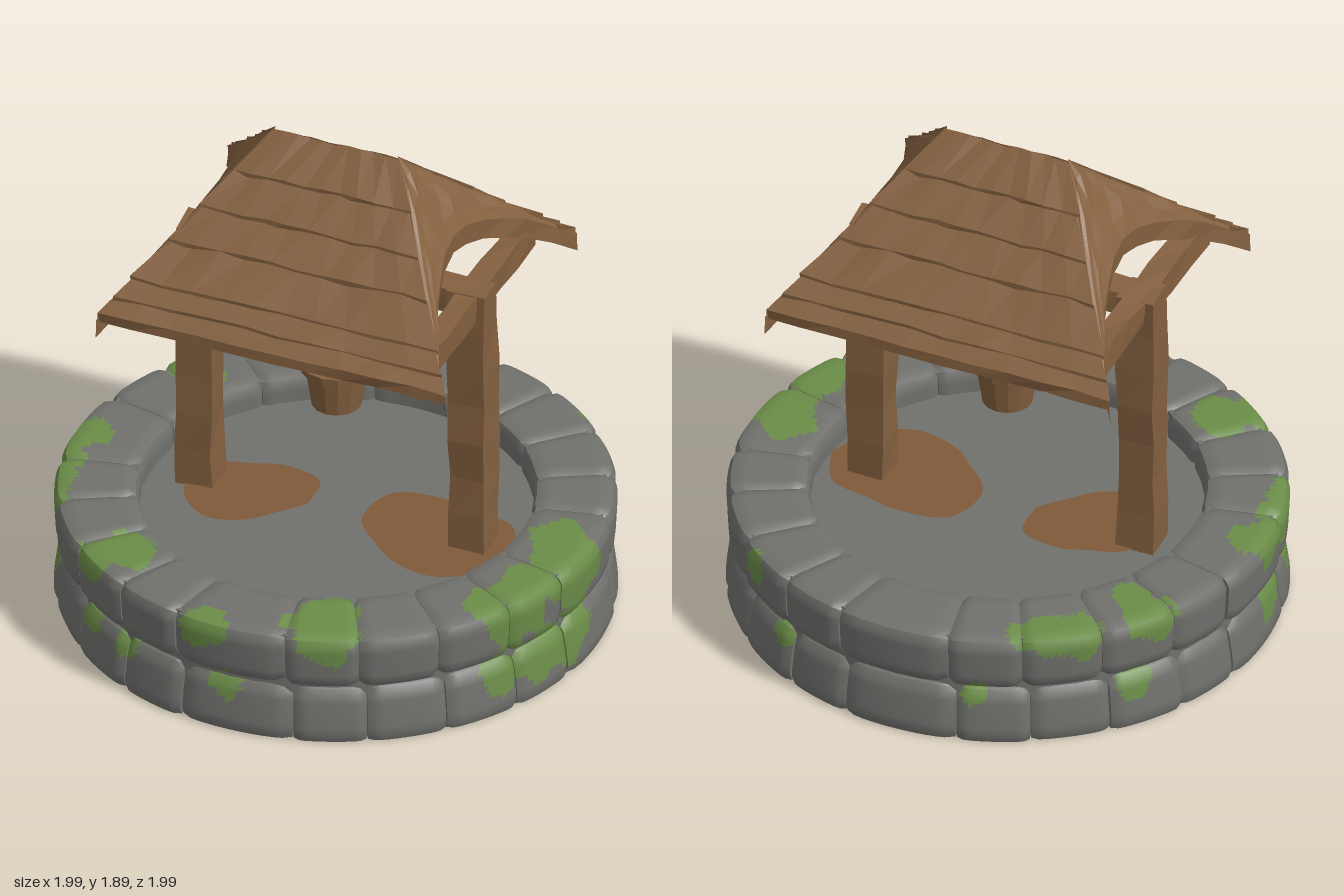
import * as THREE from 'three';

const mat = (name, color) => { const m = new THREE.MeshStandardMaterial({ color }); m.name = name; return m; };
const wood = mat('wood', 0x84603f), stone = mat('stone', 0x70716d), moss = mat('moss', 0x6b8d48);
const mud = mat('mud', 0x7f5a3a), iron = mat('dark iron', 0x3b3733);
const { lerp } = THREE.MathUtils;

// repeatable noise in -1..1 from a position
const noise = (x, y, z) => {
  const s = Math.sin(Math.round(x * 500) * 12.99 + Math.round(y * 500) * 78.23 + Math.round(z * 500) * 37.72) * 43758.55;
  return (s - Math.floor(s)) * 2 - 1;
};

// moves every vertex by a rule p => void
function warp(geo, rule) {
  const pos = geo.attributes.position, p = new THREE.Vector3();
  for (let i = 0; i < pos.count; i++) {
    rule(p.fromBufferAttribute(pos, i));
    pos.setXYZ(i, p.x, p.y, p.z);
  }
  return geo;
}

// rough-hewn faceted look
function hewn(geo, amount) {
  warp(geo, p => {
    const { x, y, z } = p;
    p.x += amount * noise(x, y, z);
    p.y += amount * noise(y, z, x);
    p.z += amount * noise(z, x, y);
  });
  const flat = geo.toNonIndexed();
  flat.computeVertexNormals();
  return flat;
}

function add(parent, name, geo, material) {
  const m = new THREE.Mesh(geo, material);
  m.name = name;
  parent.add(m);
  return m;
}

// hewn beam given by its extents
function beam(parent, name, [x0, x1], [y0, y1], [z0, z1], amount = 0.007) {
  const w = x1 - x0, h = y1 - y0, d = z1 - z0, n = s => Math.max(1, Math.round(s / 0.16));
  const g = new THREE.BoxGeometry(w, h, d, n(w), n(h), n(d));
  g.translate((x0 + x1) / 2, (y0 + y1) / 2, (z0 + z1) / 2);
  return add(parent, name, hewn(g, amount), wood);
}

// moss clumps: x, y, z, radius
const clumps = [
  [-0.6, 0.44, -0.74, 0.11], [-0.48, 0.44, -0.8, 0.09], [-0.8, 0.43, -0.52, 0.1], [-0.7, 0.44, -0.46, 0.08],
  [-0.95, 0.43, 0.06, 0.1], [-0.96, 0.4, 0.22, 0.09], [-0.93, 0.41, 0.34, 0.08], [-0.97, 0.18, 0.1, 0.09],
  [0.84, 0.44, -0.02, 0.09], [0.95, 0.4, 0.1, 0.15], [0.9, 0.44, 0.23, 0.12], [0.86, 0.4, 0.42, 0.14],
  [0.78, 0.44, 0.5, 0.08], [0.96, 0.17, 0.16, 0.12], [0.94, 0.17, 0.32, 0.11], [0.87, 0.18, 0.48, 0.1],
  [-0.52, 0.44, 0.67, 0.12], [-0.62, 0.42, 0.75, 0.09], [0.3, 0.44, 0.74, 0.1], [0.34, 0.44, 0.9, 0.12],
  [0.2, 0.44, 0.85, 0.06], [-0.1, 0.41, 0.98, 0.09], [-0.9, 0.4, 0.4, 0.07], [-0.9, 0.18, 0.38, 0.08],
  [-0.61, 0.19, 0.76, 0.06], [-0.43, 0.18, 0.87, 0.06], [0, 0.19, 0.97, 0.06], [0.62, 0.37, -0.77, 0.07],
  [0.9, 0.19, -0.4, 0.05], [0.48, 0.18, -0.85, 0.05], [-0.77, 0.18, -0.6, 0.07], [-0.3, 0.2, -0.93, 0.05],
];
const isMossy = (x, y, z) => clumps.some(([a, b, c, r]) =>
  Math.hypot(x - a, y - b, z - c) < r * (1 + 0.14 * Math.sin(x * 31 + y * 23 - z * 27)));

// one rounded stone bent around the ring, with mossy faces split into a second group
function ringStone(a0, a1, y0, y1, rIn, rLow, rHigh, seed) {
  const g = new THREE.BoxGeometry(2, 2, 2, 12, 8, 10);
  const bulge = 0.006 * noise(seed, a0, y0);
  warp(g, ({ x: a, y: b, z: c }) => 0);
  warp(g, p => {
    const a = p.x, b = p.y, c = p.z, ea = a ** 10, eb = b ** 8, ec = c ** 10;
    const ang = lerp(a0, a1, (a * 0.985 + 1) / 2);
    const rOut = lerp(rLow, rHigh, (b + 1) / 2) - 0.016 * ea - 0.016 * eb + bulge;
    const r = lerp(rIn + 0.012 * (ea + eb), rOut, (c + 1) / 2);
    const inset = b > 0 ? 0.013 * ea + 0.012 * ec : (y0 > 0 ? 0.012 * (ea + ec) : 0);
    p.set(Math.sin(ang) * r, lerp(y0, y1, (b + 1) / 2) - b * inset, Math.cos(ang) * r);
  });
  const idx = g.index.array, pos = g.attributes.position, bare = [], green = [];
  for (let i = 0; i < idx.length; i += 3) {
    const t = [idx[i], idx[i + 1], idx[i + 2]];
    const mid = f => t.reduce((s, k) => s + pos[f](k), 0) / 3;
    (isMossy(mid('getX'), mid('getY'), mid('getZ')) ? green : bare).push(...t);
  }
  g.setIndex([...bare, ...green]);
  g.clearGroups();
  g.addGroup(0, bare.length, 0);
  g.addGroup(bare.length, green.length, 1);
  g.computeVertexNormals();
  return g;
}

// box bent onto a surface: u across, v down the slope, thickness measured downwards
function slab(parent, name, surface, nu, nv, thick, amount) {
  const g = warp(new THREE.BoxGeometry(1, 1, 1, nu, 1, nv), p => {
    const [x, y, z] = surface(p.x + 0.5, p.z + 0.5);
    p.set(x, y - (0.5 - p.y) * thick, z);
  });
  return add(parent, name, hewn(g, amount), wood);
}

function blob(cx, cz, r, phase) {
  const pts = [];
  for (let i = 0; i < 10; i++) {
    const a = i / 10 * Math.PI * 2, k = r * (1 + 0.16 * Math.sin(a * 2 + phase) + 0.08 * Math.sin(a * 3));
    pts.push(new THREE.Vector2(cx + Math.cos(a) * k, -cz + Math.sin(a) * k));
  }
  const s = new THREE.Shape();
  s.moveTo(pts[0].x, pts[0].y);
  s.splineThru([...pts.slice(1), pts[0]]);
  return new THREE.ShapeGeometry(s, 6).rotateX(-Math.PI / 2);
}

export function createModel() {
  const model = new THREE.Group();
  model.name = 'well';

  // stone ring: two courses of unequal blocks
  const ring = new THREE.Group();
  ring.name = 'stoneRing';
  model.add(ring);
  const joints = [];
  for (let q = 0; q < 4; q++) for (const d of [12.5, 28, 45, 62, 77.5]) joints.push((q * 90 + d) * Math.PI / 180);
  joints.forEach((a, i) => {
    const b = i < 19 ? joints[i + 1] : joints[0] + Math.PI * 2;
    add(ring, 'lowerStone', ringStone(a + 0.03, b + 0.03, 0, 0.217, 0.8, 1.0, 0.972, i), [stone, moss]);
    add(ring, 'upperStone', ringStone(a, b, 0.217, 0.435, 0.695, 0.985, 0.995, i + 40), [stone, moss]);
  });

  // mortar behind the joints and the inner floor
  const band = new THREE.Shape().absarc(0, 0, 0.955, 0, Math.PI * 2);
  band.holes.push(new THREE.Path().absarc(0, 0, 0.715, 0, Math.PI * 2, true));
  const mortar = new THREE.ExtrudeGeometry(band, { depth: 0.12, bevelEnabled: false, curveSegments: 40 });
  add(ring, 'mortar', mortar.rotateX(-Math.PI / 2).translate(0, 0.3, 0), stone);
  add(ring, 'floor', new THREE.CylinderGeometry(0.95, 0.95, 0.326, 64).translate(0, 0.167, 0), stone);
  add(ring, 'mudPatch', blob(-0.33, 0.02, 0.21, 0.5).translate(0, 0.335, 0), mud);
  add(ring, 'mudPatch', blob(0.4, 0.02, 0.26, 2.2).translate(0, 0.335, 0), mud);

  // timber frame
  const frame = new THREE.Group();
  frame.name = 'frame';
  model.add(frame);
  for (const s of [-1, 1]) {
    const xs = (a, b) => s > 0 ? [a, b] : [-b, -a];
    beam(frame, 'post', xs(0.455, 0.592), [0.32, 1.41], [-0.065, 0.065]);
    beam(frame, 'tieBeam', xs(0.48, 0.565), [1.31, 1.41], [-0.47, 0.47]);
  }
  beam(frame, 'crossBeam', [-0.5, 0.5], [1.315, 1.41], [-0.05, 0.05]);
  beam(frame, 'kingPost', [-0.045, 0.045], [1.39, 1.82], [-0.045, 0.045]);
  beam(frame, 'ridgeBeam', [-0.23, 0.23], [1.74, 1.82], [-0.035, 0.035], 0.004);

  // roof: lapped boards front and back, arched hips at the ends
  const roof = new THREE.Group();
  roof.name = 'roof';
  model.add(roof);
  const rows = [0, 0.22, 0.41, 0.59, 0.8, 0.9, 1];
  for (const turn of [0, Math.PI]) {
    for (let i = 0; i < rows.length - 1; i++) {
      slab(roof, 'roofBoard', (u, v) => {
        const t = lerp(rows[i], rows[i + 1] + (i < 5 ? 0.012 : 0), v);
        const half = lerp(0.24, 0.67, t);
        return [(u * 2 - 1) * half, lerp(1.878, 1.33, t) + 0.014 * v, 0.58 * t];
      }, 10, 1, 0.04, 0.0045).rotation.y = turn;
    }
    slab(roof, 'roofHip', (u, v) => {
      const w = 1 - 2 * u;
      const edge = 0.45 + 0.222 * Math.abs(w) ** 1.7;
      const x = lerp(0.235, edge, v);
      return [x, 1.885 - 1.29 * (x - 0.235), 0.59 * w * v];
    }, 12, 5, 0.078, 0.006).rotation.y = turn;
  }

  // bucket hanging from the cross beam
  const bucket = new THREE.Group();
  bucket.name = 'bucket';
  model.add(bucket);
  beam(bucket, 'hangerBlock', [-0.025, 0.025], [1.14, 1.33], [-0.025, 0.025], 0.004);
  const profile = [[0, 0.785], [0.09, 0.785], [0.112, 0.93], [0.128, 0.93], [0.132, 0.962], [0.106, 0.962], [0.084, 0.82], [0, 0.82]];
  const pail = new THREE.LatheGeometry(profile.map(p => new THREE.Vector2(...p)), 14).toNonIndexed();
  pail.computeVertexNormals();
  add(bucket, 'pail', pail, wood);
  for (const s of [-1, 1]) {
    const wire = new THREE.LineCurve3(new THREE.Vector3(0.015 * s, 1.15, -0.015 * s), new THREE.Vector3(0.086 * s, 0.955, -0.086 * s));
    add(bucket, 'handleWire', new THREE.TubeGeometry(wire, 1, 0.004, 6), iron);
  }
  return model;
}
